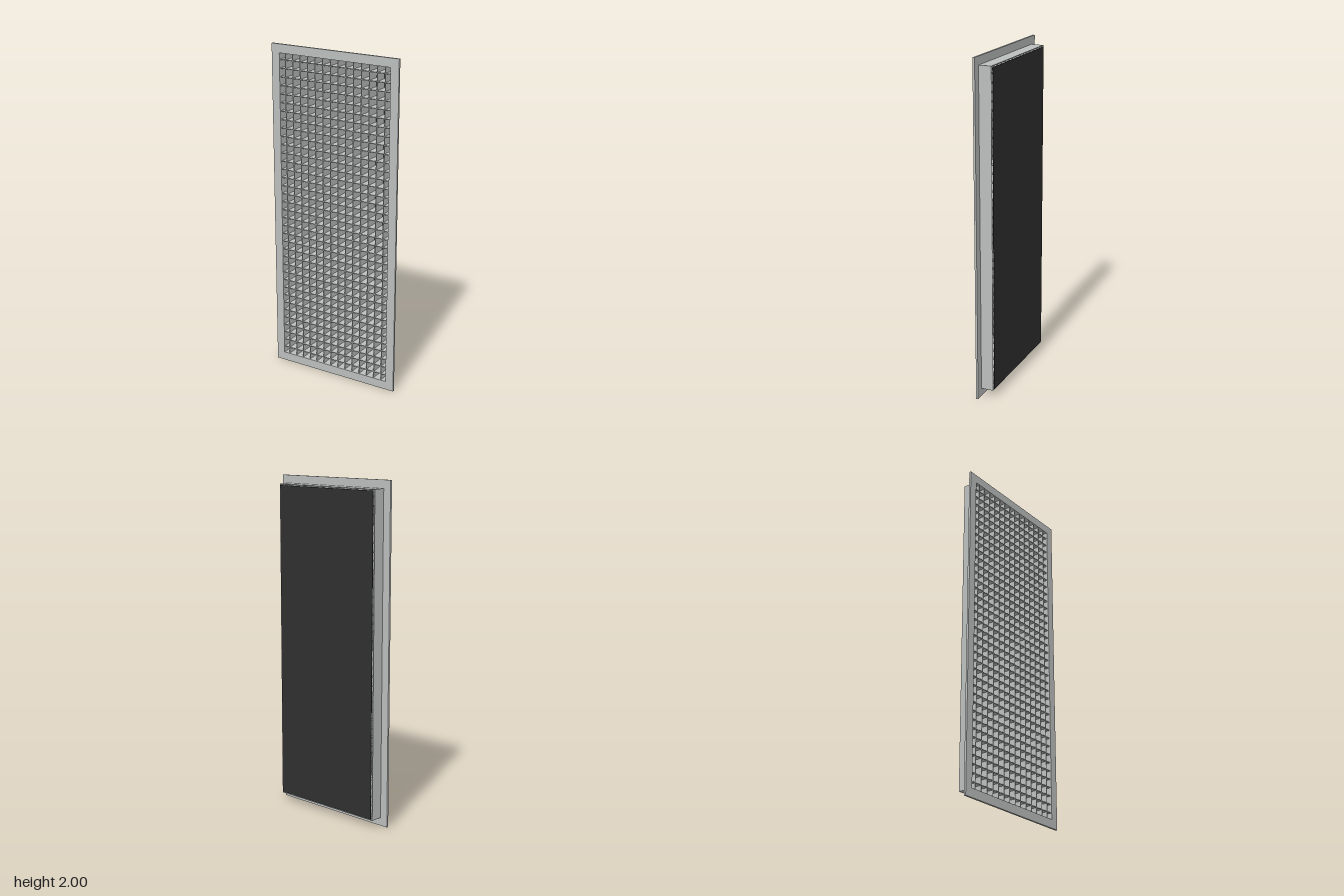
import * as THREE from 'three';

const metal = new THREE.MeshStandardMaterial({ name: 'pale grey metal', color: 0xbbbfbd });
const black = new THREE.MeshStandardMaterial({ name: 'black backing', color: 0x303030 });

// Inside of the collar, and the shared sizes
const IN_W = 0.728, IN_H = 1.896, WALL = 0.004;
const PITCH = 0.0505, BLADE = 0.004;
const Z_BACK = -0.041, Z_FLANGE = 0.033, Z_FRONT = 0.0455;

// Rectangular ring, open in the middle, from z0 to z1
function ring(name, w, h, z0, z1) {
  const path = (target, a, b) => target
    .moveTo(-a / 2, -b / 2).lineTo(a / 2, -b / 2)
    .lineTo(a / 2, b / 2).lineTo(-a / 2, b / 2).closePath();
  const shape = path(new THREE.Shape(), w, h);
  shape.holes.push(path(new THREE.Path(), IN_W, IN_H));
  const geo = new THREE.ExtrudeGeometry(shape, { depth: z1 - z0, bevelEnabled: false });
  const mesh = new THREE.Mesh(geo, metal);
  mesh.name = name;
  mesh.position.set(0, 1, z0);
  return mesh;
}

function box(name, material, w, h, x, y, z0, z1) {
  const mesh = new THREE.Mesh(new THREE.BoxGeometry(w, h, z1 - z0), material);
  mesh.name = name;
  mesh.position.set(x, y, (z0 + z1) / 2);
  return mesh;
}

export function createModel() {
  const model = new THREE.Group();
  model.name = 'eggCrateGrille';

  // Front flange and the duct collar behind it
  model.add(ring('flange', 0.832, 2, Z_FLANGE, Z_FRONT));
  model.add(ring('collar', IN_W + 2 * WALL, IN_H + 2 * WALL, Z_BACK, Z_FLANGE));

  // Square lattice of thin blades
  const core = new THREE.Group();
  core.name = 'lattice';
  const z0 = Z_BACK + 0.001, z1 = 0.039;
  for (let i = 0; i < 14; i++) {
    core.add(box('uprightBlade', metal, BLADE, IN_H, (i - 6.5) * PITCH, 1, z0, z1));
  }
  for (let j = -18; j <= 18; j++) {
    core.add(box('crossBlade', metal, IN_W, BLADE, 0, 1 + j * PITCH, z0, z1));
  }
  model.add(core);

  // Dark sheet just behind the collar
  model.add(box('backPanel', black, 0.72, 1.888, 0, 1, -0.0465, -0.0435));

  return model;
}
